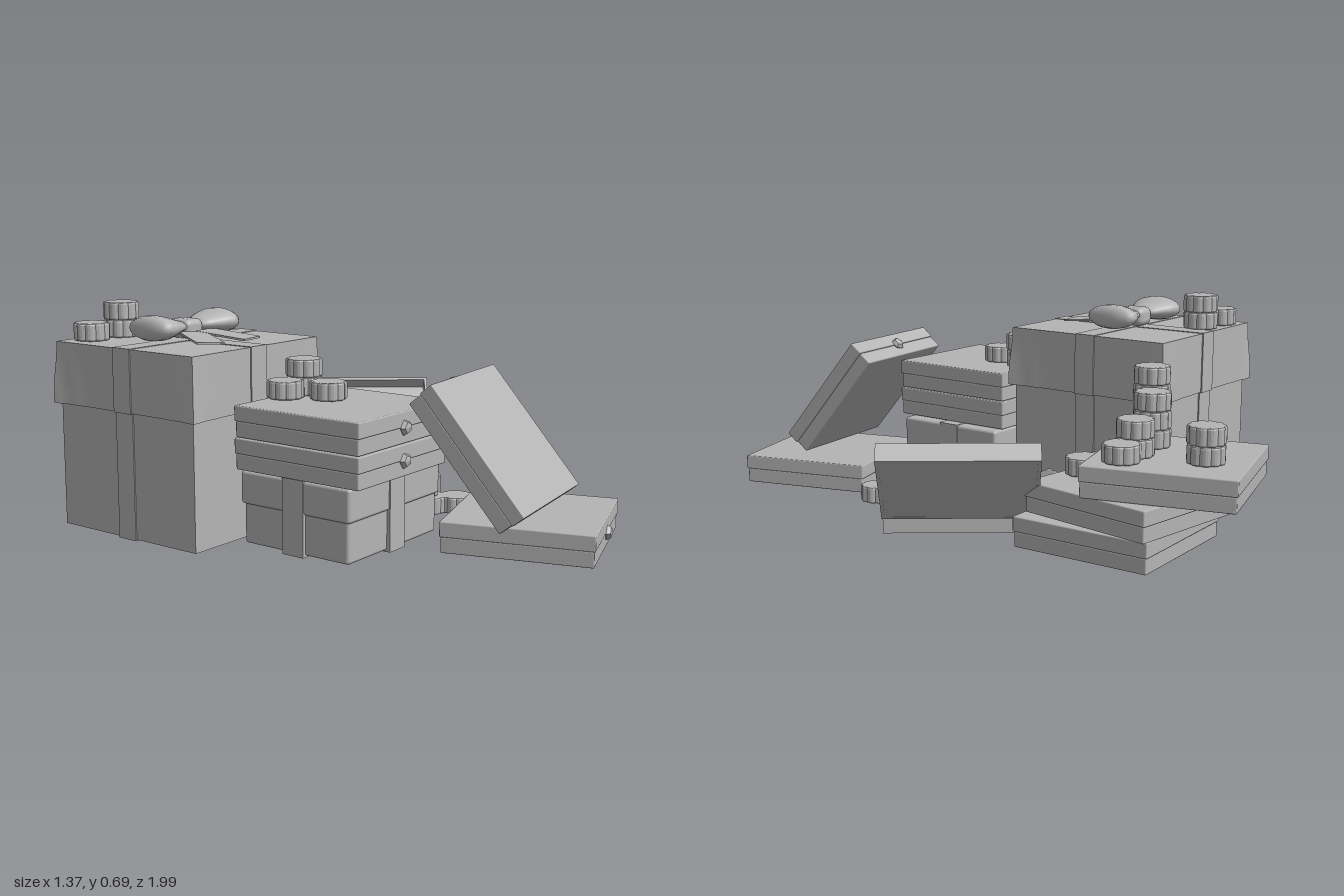
import * as THREE from 'three';
import { RoundedBoxGeometry } from 'three/addons/geometries/RoundedBoxGeometry.js';

export function createModel() {
  const root = new THREE.Group();
  const gray = new THREE.MeshStandardMaterial({ color: 0xb4b4b4 });
  gray.name = 'paper gray';

  const add = (parent, name, geo, x = 0, y = 0, z = 0, ry = 0) => {
    const m = new THREE.Mesh(geo, gray);
    m.name = name;
    m.position.set(x, y, z);
    m.rotation.y = ry;
    parent.add(m);
    return m;
  };
  const group = (name, x, y, z, ry = 0, rx = 0) => {
    const g = new THREE.Group();
    g.name = name;
    g.position.set(x, y, z);
    g.rotation.order = 'YXZ';
    g.rotation.set(rx, ry, 0);
    root.add(g);
    return g;
  };
  const box = (w, h, d) => new THREE.BoxGeometry(w, h, d);

  // Scalloped candy, standing on y = 0
  const outline = [];
  for (let i = 0; i < 60; i++) {
    const a = (i / 60) * Math.PI * 2;
    const r = 0.044 + 0.006 * Math.abs(Math.sin(a * 5));
    outline.push(new THREE.Vector2(Math.cos(a) * r, Math.sin(a) * r));
  }
  const candyGeo = new THREE.ExtrudeGeometry(new THREE.Shape(outline), {
    depth: 0.043, bevelSize: 0.006, bevelThickness: 0.006, bevelSegments: 2,
  });
  candyGeo.translate(0, 0, 0.006).rotateX(-Math.PI / 2);
  const candies = (parent, x, y, z, count = 1) => {
    for (let i = 0; i < count; i++) add(parent, 'candy', candyGeo, x, y + i * 0.055, z, x * 9 + i);
  };

  // Flat closed box with a lid seam and a faceted knob on one side
  const knobGeo = new THREE.SphereGeometry(0.024, 5, 4).toNonIndexed();
  knobGeo.rotateX(Math.PI / 2).scale(1, 1, 0.7);
  knobGeo.computeVertexNormals();
  const flatBox = (name, x, y, z, ry, rx = 0, knobSide = 1) => {
    const g = group(name, x, y, z, ry, rx);
    add(g, 'boxBase', new RoundedBoxGeometry(0.44, 0.048, 0.44, 1, 0.004), 0, -0.0235, 0);
    add(g, 'boxLid', new RoundedBoxGeometry(0.447, 0.047, 0.447, 1, 0.004), 0, 0.0235, 0);
    add(g, 'knob', knobGeo, 0, 0, 0.223 * knobSide);
    return g;
  };
  flatBox('frontBox', 0.04, 0.056, 0.715, 0.3);
  flatBox('leaningBox', -0.065, 0.308, 0.65, 0.13, 0.88, -1);
  flatBox('stackBoxLower', -0.3, 0.282, 0.265, 0);
  flatBox('stackBoxUpper', -0.3, 0.378, 0.265, 0);
  flatBox('backBoxLower', 0.13, 0.06, -0.54, 0.03);
  flatBox('backBoxMiddle', 0.135, 0.162, -0.593, -0.14);
  flatBox('backBoxUpper', 0.115, 0.257, -0.725, 0.27);

  // Ribbon bands wrapping a gift box both ways
  const ribbons = (g, w, h, d, band) => {
    const e = 0.008;
    add(g, 'ribbonAcross', box(w + e, h + e, band), 0, h / 2, 0);
    add(g, 'ribbonAlong', box(band, h + e, d + e), 0, h / 2, 0);
  };

  // Small gift box under the front stack
  const small = group('smallGiftBox', -0.28, 0.012, 0.25);
  add(small, 'smallBoxBody', new RoundedBoxGeometry(0.445, 0.13, 0.38, 2, 0.01), 0, 0.065, 0);
  add(small, 'smallBoxLid', new RoundedBoxGeometry(0.46, 0.1, 0.395, 2, 0.01), 0, 0.17, 0);
  ribbons(small, 0.46, 0.218, 0.395, 0.075);

  // Large gift box
  const gift = group('largeGiftBox', -0.385, 0.006, -0.265);
  add(gift, 'giftBody', box(0.55, 0.54, 0.55), 0, 0.27, 0);
  ribbons(gift, 0.55, 0.39, 0.55, 0.07);

  // Paper lid, flaring in pleats toward its lower corners
  const lidGeo = box(0.57, 0.19, 0.57, 1, 1, 1);
  const skirt = new THREE.BoxGeometry(0.566, 0.19, 0.566, 24, 6, 24);
  const p = skirt.attributes.position;
  for (let i = 0; i < p.count; i++) {
    const x = p.getX(i), y = p.getY(i), z = p.getZ(i);
    const drop = (0.095 - y) / 0.19;
    const along = Math.min(Math.abs(x), Math.abs(z)) / 0.283;
    const pleat = Math.max(0, along - 0.55) / 0.45;
    const k = 1 + drop * pleat * (0.03 + 0.015 * Math.sin(along * 24 + drop * 4));
    p.setXYZ(i, x * k, y, z * k);
  }
  skirt.computeVertexNormals();
  lidGeo.dispose();
  add(gift, 'giftLid', skirt, 0, 0.479, 0);
  add(gift, 'lidRibbonAcross', box(0.574, 0.194, 0.07), 0, 0.479, 0);
  add(gift, 'lidRibbonAlong', box(0.07, 0.194, 0.574), 0, 0.479, 0);

  // Bow: two puffed loops, a knot and two tails
  const bow = group('bow', -0.38, 0.615, -0.28);
  const loopProfile = [[0, 0.02], [0.034, 0.025], [0.05, 0.06], [0.072, 0.1], [0.084, 0.13],
    [0.083, 0.155], [0.07, 0.172], [0.03, 0.178], [0, 0.178]].map(q => new THREE.Vector2(...q));
  for (const s of [-1, 1]) {
    const geo = new THREE.LatheGeometry(loopProfile, 20);
    geo.rotateZ(-Math.PI / 2 * s).scale(1, 0.46, 1);
    add(bow, 'bowLoop', geo, 0, 0.004, 0).rotation.z = 0.04 * s;
  }
  add(bow, 'bowKnot', new RoundedBoxGeometry(0.075, 0.06, 0.09, 3, 0.02), 0, -0.002, 0);
  [[0.05, 0.13, 0.12], [-0.06, 0.12, -0.5]].forEach(([x, z, ry]) => {
    add(bow, 'bowTail', box(0.085, 0.006, 0.18), x, -0.018, z, ry).rotation.x = 0.08;
  });

  // Rectangular frame standing on y = 0
  const frame = (w, d, h, t) => {
    const rect = (C, a, b) => new C([[-a, -b], [a, -b], [a, b], [-a, b]]
      .map(q => new THREE.Vector2(...q)));
    const shape = rect(THREE.Shape, w / 2, d / 2);
    shape.holes.push(rect(THREE.Path, w / 2 - t, d / 2 - t));
    return new THREE.ExtrudeGeometry(shape, { depth: h, bevelEnabled: false }).rotateX(-Math.PI / 2);
  };

  // Open candy box with its lid tipped back
  const open = group('openBox', 0.205, 0.008, -0.005, -0.906);
  add(open, 'trayWalls', frame(0.47, 0.33, 0.1, 0.018), 0, 0, 0);
  add(open, 'trayLiner', frame(0.436, 0.296, 0.088, 0.016), 0, 0, 0);
  add(open, 'trayFloor', box(0.44, 0.025, 0.3), 0, 0.0127, 0);
  for (const x of [-0.125, 0, 0.125])
    for (const z of [-0.062, 0.062]) candies(open, x, 0.03, z);
  candies(open, 0.1, 0.088, 0.02);
  const lid = new THREE.Group();
  lid.name = 'openLid';
  lid.position.set(0, 0.1, -0.165);
  lid.rotation.x = 0.8;
  open.add(lid);
  add(lid, 'lidWalls', frame(0.47, 0.33, 0.06, 0.01), 0, -0.06, -0.165);
  add(lid, 'lidPanel', box(0.455, 0.012, 0.315), 0, -0.0535, -0.165);

  // Candies stacked on the boxes and on the ground: x, y, z, count
  [[-0.58, 0.58, -0.485, 1], [-0.46, 0.58, -0.48, 2],
    [-0.34, 0.426, 0.085, 1], [-0.25, 0.426, 0.085, 2], [-0.28, 0.426, 0.2, 1],
    [-0.03, 0.305, -0.555, 4], [0.07, 0.305, -0.617, 3], [0.2, 0.305, -0.638, 2],
    [0.285, 0.305, -0.645, 1], [0.155, 0.305, -0.84, 2], [0.155, 0.21, -0.435, 1],
    [0.15, 0.005, 0.285, 1], [0.125, 0.06, 0.265, 1], [0.205, 0.005, 0.35, 1],
    [0.05, 0.06, -0.26, 1], [0.045, 0.005, -0.25, 1],
  ].forEach(([x, y, z, n]) => candies(root, x, y, z, n));

  // Two candies propped on their edges
  add(root, 'proppedCandy', candyGeo, -0.03, 0.165, -0.39).rotation.x = 1.4;
  add(root, 'tiltedCandy', candyGeo, -0.055, 0.07, -0.19).rotation.set(0.5, 0, -0.9);

  return root;
}
